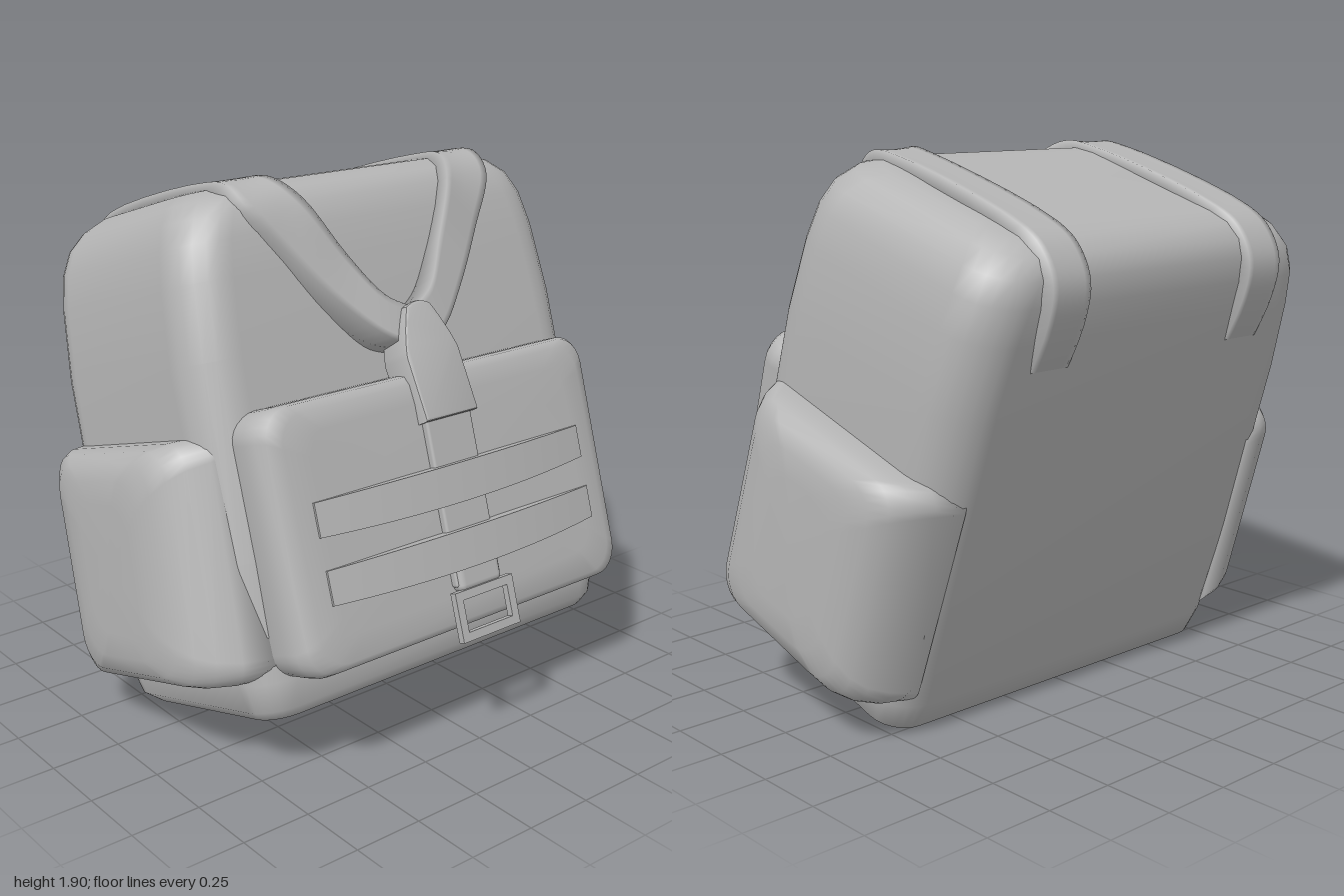
import * as THREE from 'three';
import { toCreasedNormals } from 'three/addons/utils/BufferGeometryUtils.js';
import { RoundedBoxGeometry } from 'three/addons/geometries/RoundedBoxGeometry.js';

// Skin a list of closed rings (arrays of Vector3) and cap both ends
function skin(rings) {
  const n = rings[0].length, pos = [], idx = [];
  for (const r of rings) for (const p of r) pos.push(p.x, p.y, p.z);
  for (let i = 0; i < rings.length - 1; i++) for (let j = 0; j < n; j++) {
    const a = i * n + j, b = i * n + (j + 1) % n, c = a + n, d = b + n;
    idx.push(a, c, b, b, c, d);
  }
  const cap = (start, flip) => {
    const m = new THREE.Vector3(), k = pos.length / 3;
    rings[start].forEach(p => m.addScaledVector(p, 1 / n));
    pos.push(m.x, m.y, m.z);
    for (let j = 0; j < n; j++) {
      const a = start * n + j, b = start * n + (j + 1) % n;
      flip ? idx.push(k, b, a) : idx.push(k, a, b);
    }
  };
  cap(0, false);
  cap(rings.length - 1, true);
  const g = new THREE.BufferGeometry();
  g.setAttribute('position', new THREE.Float32BufferAttribute(pos, 3));
  g.setIndex(idx);
  g.computeVertexNormals();
  return g;
}

// Padded volume from rounded rectangles: [height, half width, z min, z max, corner radius]
function padded(sections) {
  return skin(sections.map(([y, w, z0, z1, r]) => {
    const ring = [];
    for (let q = 0; q < 4; q++) for (let k = 0; k <= 6; k++) {
      const t = (q + k / 6) * Math.PI / 2;
      const cx = (q === 0 || q === 3) ? w - r : r - w;
      const cz = q < 2 ? z1 - r : z0 + r;
      ring.push(new THREE.Vector3(cx + r * Math.cos(t), y, cz + r * Math.sin(t)));
    }
    return ring;
  }));
}

function mirrored(geo) {
  const g = geo.clone().scale(-1, 1, 1);
  const ix = g.index;
  for (let i = 0; i < ix.count; i += 3) {
    const t = ix.getX(i);
    ix.setX(i, ix.getX(i + 1));
    ix.setX(i + 1, t);
  }
  g.computeVertexNormals();
  return g;
}

// Soft strap between an inner and an outer edge, its flared base sunk into the body
function strapGeometry(inner, outer) {
  const curve = pts => new THREE.CatmullRomCurve3(pts.map(p => new THREE.Vector3(...p)), false, 'centripetal');
  const a = curve(inner), b = curve(outer), rings = [];
  const sunk = (p, flare) => new THREE.Vector3(
    Math.max(0, p.x + flare), p.y + (0.95 - p.y) * 0.07, p.z + (0.2 - p.z) * 0.2);
  for (let i = 0; i <= 50; i++) {
    const p = a.getPoint(i / 50), q = b.getPoint(i / 50);
    const ring = [sunk(p, -0.03), p];
    for (const t of [0.15, 0.5, 0.85]) ring.push(p.clone().lerp(q, t));
    ring.push(q, sunk(q, 0.05));
    rings.push(ring);
  }
  return skin(rings);
}

export function createModel() {
  const model = new THREE.Group();
  model.name = 'backpack';
  const pack = new THREE.Group();
  pack.name = 'leaningPack';
  pack.rotation.x = THREE.MathUtils.degToRad(-17.5);
  model.add(pack);

  const fabric = new THREE.MeshStandardMaterial({ color: 0xb4b4b4 });
  fabric.name = 'grey fabric';
  const add = (name, geo) => {
    const mesh = new THREE.Mesh(geo, fabric);
    mesh.name = name;
    pack.add(mesh);
    return mesh;
  };

  // Main bag
  add('mainBag', padded([
    [0.05, 0.70, -0.14, 0.56, 0.08],
    [0.065, 0.74, -0.19, 0.61, 0.10],
    [0.10, 0.775, -0.262, 0.645, 0.12],
    [0.20, 0.80, -0.28, 0.675, 0.14],
    [0.60, 0.825, -0.288, 0.69, 0.16],
    [1.25, 0.815, -0.283, 0.70, 0.17],
    [1.50, 0.79, -0.28, 0.70, 0.17],
    [1.62, 0.765, -0.277, 0.695, 0.17],
    [1.70, 0.73, -0.26, 0.68, 0.17],
    [1.755, 0.68, -0.225, 0.645, 0.17],
    [1.79, 0.62, -0.16, 0.585, 0.16],
    [1.80, 0.55, -0.08, 0.50, 0.14],
  ]));

  // Side pockets, lofted outwards and flaring into the bag
  const side = padded([
    [0.70, 0.40, -0.285, 0.67, 0.07],
    [0.81, 0.405, -0.265, 0.63, 0.08],
    [0.88, 0.40, -0.235, 0.585, 0.09],
    [0.93, 0.385, -0.195, 0.54, 0.1],
    [0.965, 0.355, -0.14, 0.48, 0.11],
    [0.983, 0.30, -0.06, 0.40, 0.11],
    [0.988, 0.22, 0.02, 0.33, 0.1],
  ]).rotateZ(-Math.PI / 2).rotateZ(0.045).translate(0, 0.58, 0);
  add('leftSidePocket', side);
  add('rightSidePocket', mirrored(side));

  // Front pocket, lofted forwards
  add('frontPocket', padded([
    [0.60, 0.715, -1.06, -0.20, 0.08],
    [0.66, 0.73, -1.07, -0.20, 0.09],
    [0.74, 0.735, -1.075, -0.20, 0.1],
    [0.79, 0.725, -1.077, -0.20, 0.1],
    [0.82, 0.70, -1.072, -0.208, 0.1],
    [0.838, 0.655, -1.045, -0.23, 0.1],
    [0.848, 0.56, -0.98, -0.32, 0.08],
  ]).rotateX(Math.PI / 2));

  // Shoulder straps over the top, meeting in a V at the front
  const strap = strapGeometry(
    [[0.38, 1.26, -0.25], [0.38, 1.56, -0.306], [0.38, 1.70, -0.29], [0.38, 1.785, -0.21], [0.38, 1.82, -0.10],
      [0.38, 1.82, 0.50], [0.365, 1.795, 0.65], [0.315, 1.71, 0.725], [0.20, 1.50, 0.755],
      [0.10, 1.35, 0.785], [0, 1.29, 0.80]],
    [[0.54, 1.26, -0.25], [0.54, 1.56, -0.306], [0.54, 1.70, -0.29], [0.54, 1.785, -0.21], [0.54, 1.82, -0.10],
      [0.54, 1.82, 0.50], [0.54, 1.79, 0.64], [0.52, 1.70, 0.705], [0.40, 1.52, 0.73],
      [0.25, 1.33, 0.765], [0.11, 1.20, 0.80], [0, 1.16, 0.81]]);
  add('leftStrap', strap);
  add('rightStrap', mirrored(strap));

  // Pointed tab joining the straps
  const tab = new THREE.Shape();
  tab.moveTo(-0.105, 0);
  tab.lineTo(0.105, 0);
  tab.lineTo(0.105, 0.21);
  tab.quadraticCurveTo(0.09, 0.28, 0.045, 0.37);
  tab.quadraticCurveTo(0, 0.395, -0.045, 0.37);
  tab.quadraticCurveTo(-0.09, 0.28, -0.105, 0.21);
  tab.closePath();
  const tabGeo = new THREE.ExtrudeGeometry(tab, {
    depth: 0.11, bevelThickness: 0.012, bevelSize: 0.01, bevelSegments: 2, curveSegments: 8 });
  tabGeo.rotateX(-0.19).translate(0, 0.905, 0.775);
  add('strapTab', toCreasedNormals(tabGeo, 0.6));

  // Closing strap down the front pocket, with its folded end
  add('closingStrap', new RoundedBoxGeometry(0.2, 0.6, 0.05, 2, 0.01)).position.set(0, 0.65, 0.848);
  add('strapEnd', new RoundedBoxGeometry(0.19, 0.1, 0.07, 3, 0.025)).position.set(0, 0.38, 0.852);

  // Two bowed horizontal bands, tapering towards flush ends
  for (const [name, y] of [['upperBand', 0.695], ['lowerBand', 0.475]]) {
    const g = new THREE.BoxGeometry(1.18, 0.13, 0.05, 24, 2, 1);
    const p = g.attributes.position;
    for (let i = 0; i < p.count; i++) {
      const bow = 1 - (p.getX(i) / 0.59) ** 2;
      const v = p.getY(i);
      p.setY(i, v < -0.01 ? v * (0.75 + 0.25 * bow) : v);
      p.setZ(i, p.getZ(i) + 0.05 * bow);
    }
    g.computeVertexNormals();
    add(name, g).position.set(0, y, 0.828);
  }

  // Open rectangular buckle
  const frame = new THREE.Shape();
  const rect = (s, w, h) => s.moveTo(-w, -h).lineTo(w, -h).lineTo(w, h).lineTo(-w, h).closePath();
  rect(frame, 0.13, 0.085);
  const hole = new THREE.Path();
  rect(hole, 0.1, 0.055);
  frame.holes.push(hole);
  const buckle = add('buckle', new THREE.ExtrudeGeometry(frame, { depth: 0.025, bevelEnabled: false }));
  buckle.position.set(0, 0.255, 0.866);
  return model;
}
